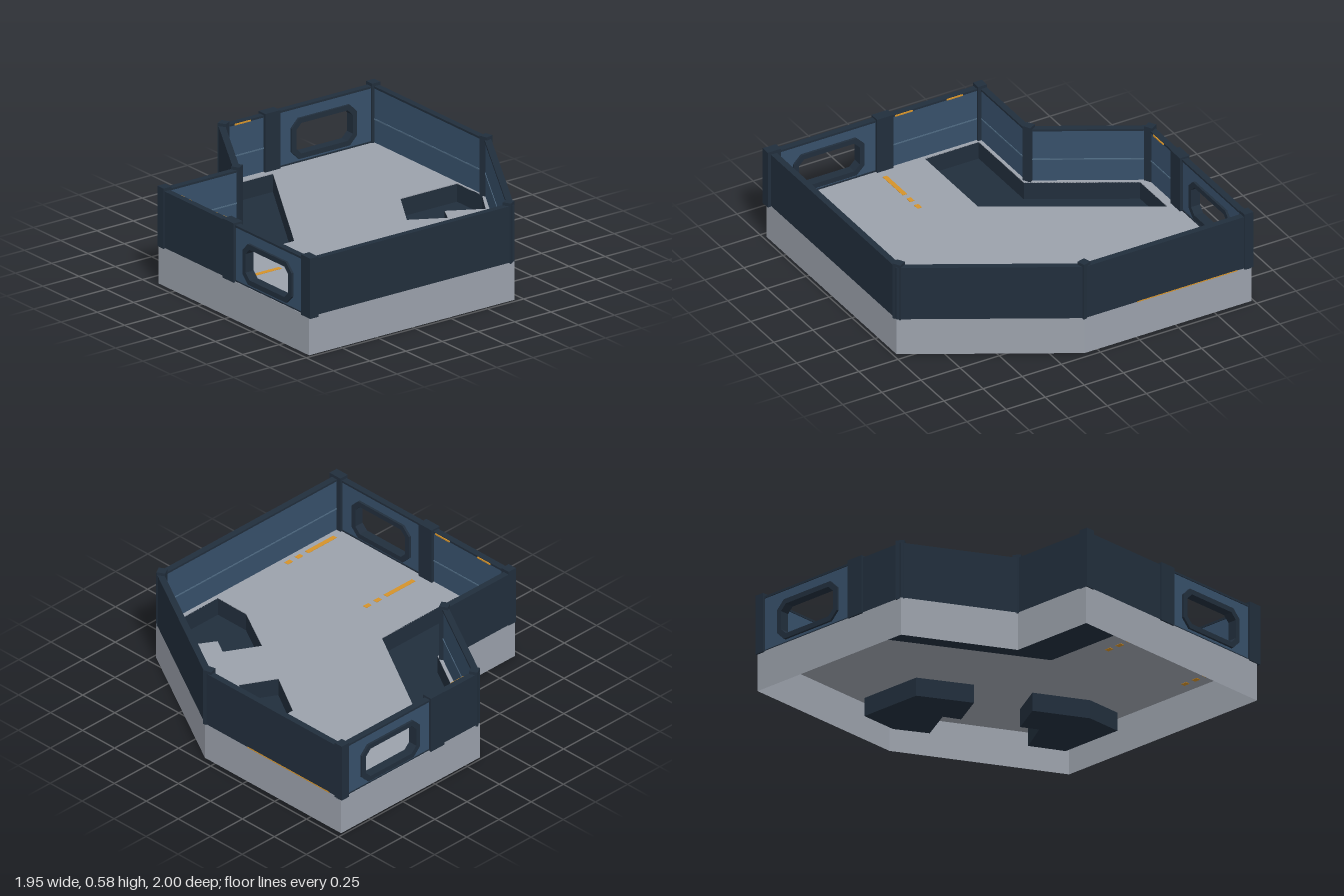
import * as THREE from 'three';

const mat = (name, color, side = THREE.FrontSide) => {
  const m = new THREE.MeshStandardMaterial({ color, side });
  m.name = name;
  return m;
};

const FLOOR = 0.227, TOP = 0.56, PIT = 0.11, THICK = 0.038;

// plan outline as [x, z], clockwise seen from above
const OUTLINE = [[-0.965, -0.4], [-0.45, -0.4], [-0.115, -0.985], [0.965, -0.985],
  [0.965, 0.08], [0.45, 0.98], [-0.965, 0.98]];

const PITS = [
  [[-0.91, -0.345], [-0.42, -0.345], [-0.1, -0.9], [0.2, -0.9], [-0.33, 0], [-0.91, 0]],
  [[0.53, -0.17], [0.92, -0.17], [0.92, 0.06], [0.81, 0.24], [0.61, 0.13], [0.56, 0.225], [0.36, 0.115]],
  [[0.195, 0.41], [0.39, 0.52], [0.335, 0.615], [0.525, 0.73], [0.42, 0.92], [0.03, 0.92], [0.03, 0.7]],
];

const toShape = (pts) => new THREE.Shape(pts.map(([x, z]) => new THREE.Vector2(x, z)));

// horizontal slab whose upper face lies at y = 0
function slab(shape, depth) {
  return new THREE.ExtrudeGeometry(shape, { depth, bevelEnabled: false }).rotateX(Math.PI / 2);
}

// closed vertical sheet following a plan outline
function curtain(pts, y0, y1) {
  const pos = [];
  pts.forEach(([ax, az], i) => {
    const [bx, bz] = pts[(i + 1) % pts.length];
    pos.push(ax, y0, az, ax, y1, az, bx, y1, bz, ax, y0, az, bx, y1, bz, bx, y0, bz);
  });
  const g = new THREE.BufferGeometry();
  g.setAttribute('position', new THREE.Float32BufferAttribute(pos, 3));
  g.computeVertexNormals();
  return g;
}

// rectangle with cut corners
function octagon(x0, x1, y0, y1, c) {
  return [[x0 + c, y0], [x1 - c, y0], [x1, y0 + c], [x1, y1 - c],
    [x1 - c, y1], [x0 + c, y1], [x0, y1 - c], [x0, y0 + c]];
}

export function createModel() {
  const grey = mat('floor grey', 0x9ba1ab);
  const greySheet = mat('skirt grey', 0x9ba1ab, THREE.DoubleSide);
  const navy = mat('dark navy', 0x212e3c);
  const navySheet = mat('pit navy', 0x212e3c, THREE.DoubleSide);
  const blue = mat('panel blue', 0x37506a);
  const trim = mat('trim blue', 0x4f6a82);
  const orange = mat('marking orange', 0xd4922a);

  const model = new THREE.Group();
  model.name = 'walledRoom';

  const add = (parent, name, geo, material, x = 0, y = 0, z = 0) => {
    const m = new THREE.Mesh(geo, material);
    m.name = name;
    m.position.set(x, y, z);
    parent.add(m);
    return m;
  };
  // box given by its minimum and maximum corners
  const block = (parent, name, material, x0, x1, y0, y1, z0, z1) =>
    add(parent, name, new THREE.BoxGeometry(x1 - x0, y1 - y0, z1 - z0), material,
      (x0 + x1) / 2, (y0 + y1) / 2, (z0 + z1) / 2);

  // floor with openings, and the hollow skirt beneath it
  const floorShape = toShape(OUTLINE);
  floorShape.holes = PITS.map(toShape);
  add(model, 'floor', slab(floorShape, 0.005), grey, 0, FLOOR, 0);
  add(model, 'skirt', curtain(OUTLINE, 0, FLOOR), greySheet);

  // sunken pits
  PITS.forEach((pts) => {
    add(model, 'pitSides', curtain(pts, FLOOR - PIT, FLOOR), navySheet);
    add(model, 'pitBottom', slab(toShape(pts), 0.005), navy, 0, FLOOR - PIT, 0);
  });

  // solid wall: dark outside, blue lining with a trim line inside, dark rail on top
  function solidWall(wall, u0, u1) {
    block(wall, 'wallOuter', navy, u0, u1, FLOOR, TOP, 0, 0.025);
    block(wall, 'wallLining', blue, u0, u1, FLOOR, TOP - 0.012, 0.025, THICK - 0.004);
    block(wall, 'wallRail', navy, u0, u1, TOP - 0.012, TOP, 0.025, THICK);
    block(wall, 'wallTrim', trim, u0, u1, 0.362, 0.369, THICK - 0.004, THICK - 0.001);
  }

  // blue wall with a framed opening between w0 and w1
  function windowWall(wall, u0, u1, w0, w1) {
    const panel = toShape([[u0, FLOOR], [u1, FLOOR], [u1, TOP - 0.012], [u0, TOP - 0.012]]);
    panel.holes.push(toShape(octagon(w0 + 0.01, w1 - 0.01, 0.26, 0.48, 0.045)));
    add(wall, 'windowPanel', new THREE.ExtrudeGeometry(panel, { depth: THICK - 0.01, bevelEnabled: false }),
      blue, 0, 0, 0.005);
    const frame = toShape(octagon(w0, w1, 0.25, 0.49, 0.05));
    frame.holes.push(toShape(octagon(w0 + 0.03, w1 - 0.03, 0.28, 0.46, 0.035)));
    add(wall, 'windowFrame', new THREE.ExtrudeGeometry(frame, { depth: 0.056, bevelEnabled: false }),
      navy, 0, 0, -0.009);
    block(wall, 'windowRail', navy, u0, u1, TOP - 0.012, TOP, 0, THICK);
    block(wall, 'windowSill', navy, u0, u1, FLOOR - 0.012, FLOOR + 0.008, 0.003, THICK);
  }

  // one wall per outline edge; local x runs along it, local z points inward
  const windows = {
    2: { span: [0.34, 1.08], frame: [0.475, 0.925], solid: [0, 0.34], pillar: 0.34 },
    6: { span: [0, 0.73], frame: [0.15, 0.6], solid: [0.73, 1.38], pillar: 0.73 },
  };
  const walls = OUTLINE.map(([ax, az], i) => {
    const [bx, bz] = OUTLINE[(i + 1) % OUTLINE.length];
    const wall = new THREE.Group();
    wall.name = 'wall';
    wall.position.set(ax, 0, az);
    wall.rotation.y = Math.atan2(az - bz, bx - ax);
    model.add(wall);
    const w = windows[i];
    if (w) {
      windowWall(wall, ...w.span, ...w.frame);
      solidWall(wall, ...w.solid);
      block(wall, 'wallPillar', navy, w.pillar - 0.052, w.pillar + 0.052, FLOOR - 0.005, 0.572, -0.01, 0.052);
    } else {
      solidWall(wall, 0, Math.hypot(bx - ax, bz - az));
    }
    return wall;
  });

  // corner posts, turned to halve the angle at each corner: [x, z, turn]
  [[-0.944, -0.373, 0], [-0.435, -0.385, Math.PI / 6], [-0.093, -0.962, Math.PI / 6], [0.942, -0.967, 0],
    [0.94, 0.07, Math.PI / 12], [0.43, 0.955, Math.PI / 6], [-0.944, 0.957, 0]].forEach(([x, z, turn], i) => {
    const square = turn === 0;
    const w = square ? 0.056 : 0.05;
    const h = 0.578 - 0.222;
    const post = add(model, 'cornerPost', new THREE.BoxGeometry(w, h, square && i === 6 ? 0.085 : w),
      navy, x, 0.222 + h / 2, z);
    post.rotation.y = turn;
  });

  // orange floor dashes beside the left-hand opening
  [0.285, 0.9].forEach((z) => {
    [[-0.86, -0.64], [-0.6, -0.56], [-0.52, -0.48]].forEach(([x0, x1]) =>
      block(model, 'floorDash', orange, x0, x1, FLOOR - 0.007, FLOOR + 0.002, z - 0.014, z + 0.014));
  });

  // small orange markers along the inner rails and the base of the side wall
  [[walls[2], 0.085, 0.195], [walls[6], 0.8, 0.91], [walls[6], 1.13, 1.23]].forEach(([wall, u0, u1]) =>
    block(wall, 'railMarker', orange, u0, u1, TOP - 0.011, TOP - 0.003, THICK, THICK + 0.006));
  block(walls[3], 'baseMarker', orange, 0.09, 0.73, FLOOR - 0.003, FLOOR + 0.003, -0.002, 0.004);

  return model;
}
